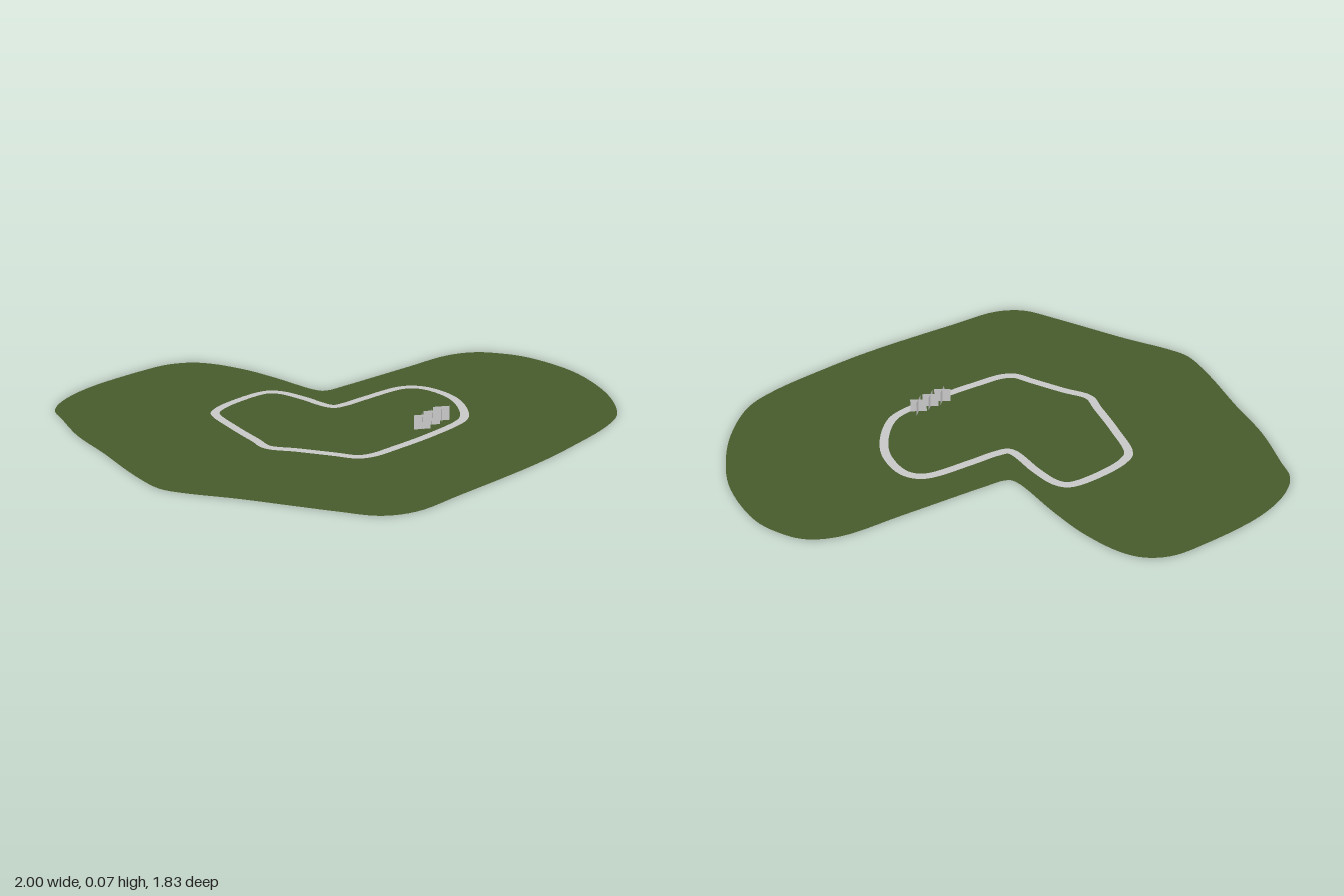
import * as THREE from 'three';

const grass = new THREE.MeshStandardMaterial({ name: 'grassGreen', color: 0x465b2c, side: THREE.DoubleSide });
const stone = new THREE.MeshStandardMaterial({ name: 'paleGrey', color: 0xc8c8c8, side: THREE.DoubleSide });

// Smooth closed outline through [x, z] pairs, drawn in the XY plane with y = -z
function smooth(pairs, count) {
  const curve = new THREE.CatmullRomCurve3(
    pairs.map(([x, z]) => new THREE.Vector3(x, -z, 0)), true, 'centripetal');
  return curve.getPoints(count).slice(0, -1).map(p => new THREE.Vector2(p.x, p.y));
}

// Shift a closed outline sideways along its normals
function offset(points, d) {
  const n = points.length;
  return points.map((p, i) => {
    const t = points[(i + 1) % n].clone().sub(points[(i + n - 1) % n]).normalize();
    return new THREE.Vector2(p.x + t.y * d, p.y - t.x * d);
  });
}

// Flat sheet lying on the ground, with an optional hole
function sheet(name, outline, hole, material) {
  const shape = new THREE.Shape(outline);
  if (hole) shape.holes.push(new THREE.Path(hole));
  const mesh = new THREE.Mesh(new THREE.ShapeGeometry(shape).rotateX(-Math.PI / 2), material);
  mesh.name = name;
  return mesh;
}

export function createModel() {
  const model = new THREE.Group();
  model.name = 'parkGround';

  const shore = smooth([
    [-0.44, -0.92], [-0.61, -0.88], [-0.70, -0.82], [-0.745, -0.73], [-0.83, -0.55], [-0.89, -0.35],
    [-0.97, -0.11], [-1, 0.04], [-0.98, 0.12], [-0.895, 0.31], [-0.825, 0.49], [-0.77, 0.63],
    [-0.71, 0.76], [-0.61, 0.83], [-0.40, 0.86], [0.01, 0.905], [0.24, 0.91], [0.48, 0.90],
    [0.62, 0.865], [0.78, 0.74], [0.90, 0.58], [0.97, 0.43], [1, 0.21], [0.97, 0.09],
    [0.92, 0.005], [0.815, -0.06], [0.56, -0.10], [0.22, -0.15], [0.145, -0.165], [0.12, -0.19],
    [0.13, -0.43], [0.13, -0.59], [0.10, -0.75], [0.055, -0.83], [-0.025, -0.885], [-0.16, -0.91],
  ], 180);

  const loop = smooth([
    [-0.205, -0.36], [-0.285, -0.35], [-0.335, -0.325], [-0.40, -0.17], [-0.45, -0.015], [-0.475, 0.065],
    [-0.43, 0.165], [-0.375, 0.30], [-0.345, 0.375], [-0.30, 0.405], [-0.185, 0.425], [0, 0.445],
    [0.19, 0.445], [0.25, 0.42], [0.34, 0.335], [0.395, 0.24], [0.41, 0.12], [0.385, 0.065],
    [0.34, 0.035], [0.165, 0.005], [0.055, -0.01], [0.01, -0.03], [0.013, -0.19], [0.008, -0.285],
    [-0.015, -0.33], [-0.06, -0.35],
  ], 156);
  const pathOuter = offset(loop, 0.017);
  const pathInner = offset(loop, -0.017);

  // Lawn around the path, the path itself, and the lawn inside it
  model.add(
    sheet('outerLawn', shore, pathOuter, grass),
    sheet('loopPath', pathOuter, pathInner, stone),
    sheet('innerLawn', pathInner, null, grass),
  );

  // Row of three small markers, each made of two crossed upright panels
  const w = 0.05, d = 0.04, h = 0.056;
  const panel = new THREE.PlaneGeometry(Math.hypot(w, d), h);
  [0.007, 0.066, 0.125].forEach((x, i) => {
    const marker = new THREE.Group();
    marker.name = `marker${i + 1}`;
    for (const s of [-1, 1]) {
      const mesh = new THREE.Mesh(panel, stone);
      mesh.name = 'crossedPanel';
      mesh.rotation.y = s * Math.atan2(d, w);
      marker.add(mesh);
    }
    marker.position.set(x, 0.038, 0.4);
    model.add(marker);
  });

  return model;
}
